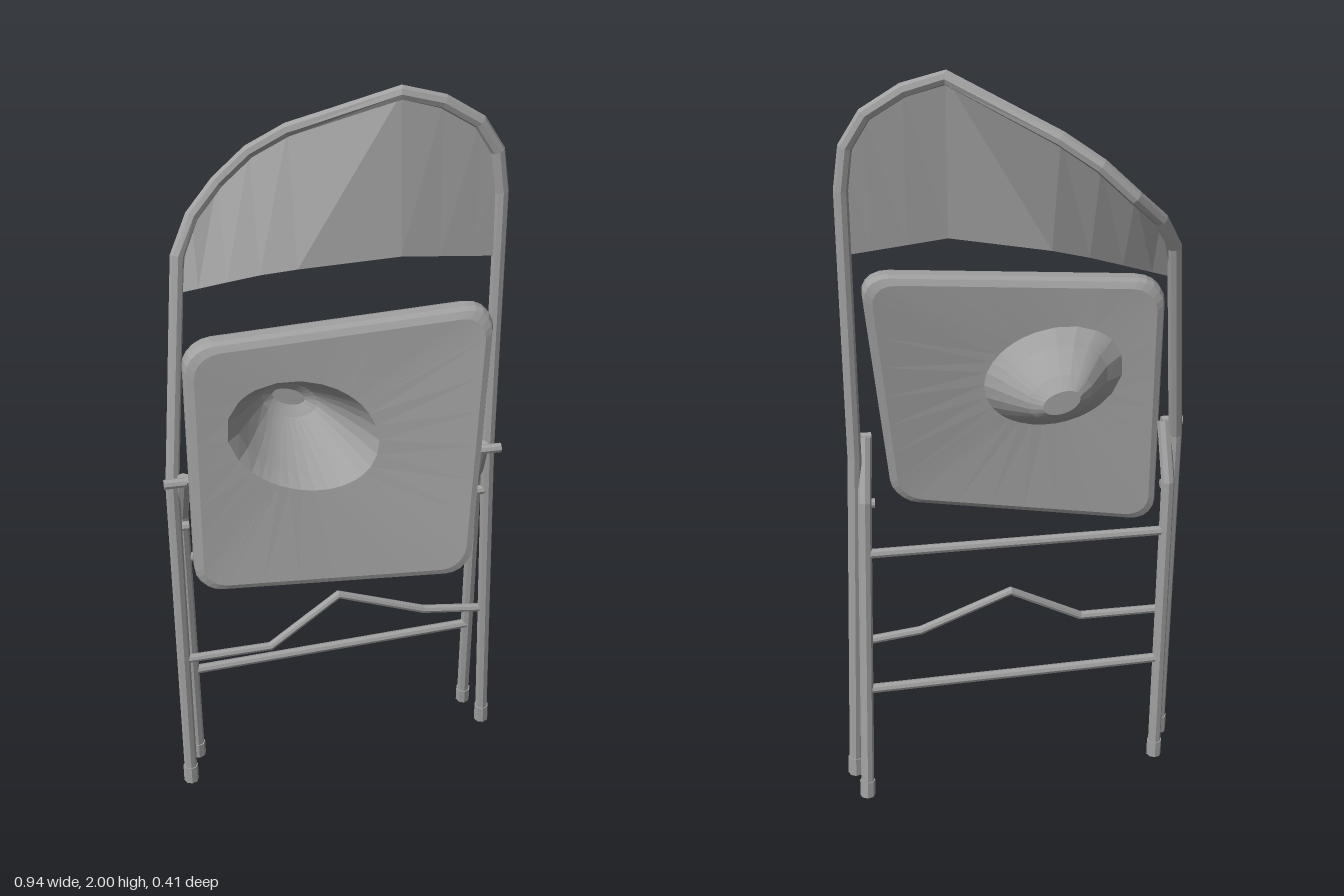
import * as THREE from 'three';

const metal = new THREE.MeshStandardMaterial({ color: 0xa0a0a0, flatShading: true });
metal.name = 'grey metal';
const sheet = new THREE.MeshStandardMaterial({ color: 0xa0a0a0, flatShading: true, side: THREE.DoubleSide });
sheet.name = 'grey sheet metal';

const V = (p) => new THREE.Vector3(...p);
const lerp = THREE.MathUtils.lerp;

// Skin a list of closed rings and cap both ends
function loft(rings) {
  const n = rings[0].length, pos = [], idx = [];
  rings.forEach((r) => r.forEach((p) => pos.push(p.x, p.y, p.z)));
  for (let i = 0; i < rings.length - 1; i++) {
    for (let j = 0; j < n; j++) {
      const a = i * n + j, b = i * n + (j + 1) % n;
      idx.push(a, a + n, b + n, a, b + n, b);
    }
  }
  [0, rings.length - 1].forEach((k) => {
    const c = new THREE.Vector3();
    rings[k].forEach((p) => c.addScaledVector(p, 1 / n));
    const ci = pos.length / 3;
    pos.push(c.x, c.y, c.z);
    for (let j = 0; j < n; j++) {
      const a = k * n + j, b = k * n + (j + 1) % n;
      if (k === 0) idx.push(ci, a, b); else idx.push(ci, b, a);
    }
  });
  const g = new THREE.BufferGeometry();
  g.setAttribute('position', new THREE.Float32BufferAttribute(pos, 3));
  g.setIndex(idx);
  g.computeVertexNormals();
  return g;
}

// Bent tube with mitred corners
function tube(path, radius, sides = 8) {
  const pts = path.map(V), zAxis = new THREE.Vector3(0, 0, 1);
  return loft(pts.map((p, i) => {
    const t = new THREE.Vector3();
    if (i > 0) t.add(p.clone().sub(pts[i - 1]).normalize());
    if (i < pts.length - 1) t.add(pts[i + 1].clone().sub(p).normalize());
    t.normalize();
    const n1 = t.clone().cross(zAxis).normalize(), n2 = n1.clone().cross(t);
    return Array.from({ length: sides }, (_, k) => {
      const a = (k / sides) * Math.PI * 2;
      return p.clone().addScaledVector(n1, radius * Math.cos(a)).addScaledVector(n2, radius * Math.sin(a));
    });
  }));
}

// Seat pan: a skewed rounded slab with a funnel-shaped dent
function seatGeometry() {
  const uv = [], rad = 0.09;
  [[1, 1], [0, 1], [0, 0], [1, 0]].forEach(([cu, cv], q) => {
    const ou = cu ? 1 - rad : rad, ov = cv ? 1 - rad : rad;
    for (let k = 0; k <= 5; k++) {
      const a = (q + k / 5) * Math.PI / 2;
      uv.push([ou + rad * Math.cos(a), ov + rad * Math.sin(a)]);
    }
    const end = uv[uv.length - 1], dir = [[-1, 0], [0, -1], [1, 0], [0, 1]][q];
    for (let k = 1; k <= 5; k++) {
      const d = (k / 6) * (1 - 2 * rad);
      uv.push([end[0] + dir[0] * d, end[1] + dir[1] * d]);
    }
  });
  const frontZ = (u, v) => 0.09 + u * (0.01 + 0.11 * (1 - v));
  const outline = (s, drop) => uv.map(([u0, v0]) => {
    const u = 0.5 + (u0 - 0.5) * s, v = 0.5 + (v0 - 0.5) * s;
    return new THREE.Vector3(
      lerp(-0.405, lerp(0.305, 0.37, v), u),
      lerp(lerp(0.715, 1.43, v), lerp(0.755, 1.475, v), u),
      frontZ(u, v) - drop);
  });
  const tilt = -0.35, cx = -0.12, cy = 1.17, c = Math.cos(tilt), s = Math.sin(tilt);
  const edge = outline(1, 0);
  const ellipse = (a, b, z, drop) => edge.map((p) => {
    const dx = p.x - cx, dy = p.y - cy;
    const t = Math.atan2((-dx * s + dy * c) / b, (dx * c + dy * s) / a);
    const ex = a * Math.cos(t), ey = b * Math.sin(t);
    const x = cx + ex * c - ey * s, y = cy + ex * s + ey * c;
    return new THREE.Vector3(x, y, z ?? frontZ((x + 0.4) / 0.74, (y - 0.74) / 0.71) - drop);
  });
  return loft([
    ellipse(0.045, 0.022, -0.1), ellipse(0.075, 0.048, -0.08),
    ellipse(0.125, 0.092, 0), ellipse(0.16, 0.122, 0.06), ellipse(0.195, 0.148, null, 0),
    outline(0.94, 0), outline(0.985, 0.008), outline(1, 0.024),
    outline(1, 0.05), outline(0.985, 0.066), outline(0.94, 0.075),
    ellipse(0.185, 0.14, null, 0.075), ellipse(0.14, 0.105, -0.01),
    ellipse(0.085, 0.06, -0.085), ellipse(0.05, 0.03, -0.115),
  ]);
}

// Backrest sheet between the arch and a gently bowed lower edge
function backrestGeometry(arch) {
  const low = [[-0.395, 1.49, -0.1], [-0.2, 1.535, -0.065], [0, 1.568, -0.025], [0.15, 1.58, -0.005], [0.405, 1.553, -0.02]];
  const lowAt = (x) => {
    let i = 0;
    while (i < low.length - 2 && x > low[i + 1][0]) i++;
    const f = THREE.MathUtils.clamp((x - low[i][0]) / (low[i + 1][0] - low[i][0]), 0, 1);
    return low[i].map((a, k) => lerp(a, low[i + 1][k], f));
  };
  const pos = [], idx = [];
  arch.forEach((p, i) => {
    pos.push(...lowAt(p[0]), ...p);
    if (i) idx.push(2 * i - 2, 2 * i, 2 * i + 1, 2 * i - 2, 2 * i + 1, 2 * i - 1);
  });
  const g = new THREE.BufferGeometry();
  g.setAttribute('position', new THREE.Float32BufferAttribute(pos, 3));
  g.setIndex(idx);
  g.computeVertexNormals();
  return g;
}

export function createModel() {
  const model = new THREE.Group();
  model.name = 'bentFoldingChair';
  const add = (name, geometry, material = metal) => {
    const mesh = new THREE.Mesh(geometry, material);
    mesh.name = name;
    model.add(mesh);
  };

  // Main frame: one tube from foot to foot over the crooked arch
  const arch = [
    [-0.385, 1.58, -0.12], [-0.34, 1.665, -0.16], [-0.27, 1.735, -0.193], [-0.19, 1.81, -0.185],
    [-0.1, 1.868, -0.155], [0.15, 1.982, -0.03], [0.25, 1.955, -0.027], [0.34, 1.9, -0.025],
    [0.388, 1.825, -0.025], [0.403, 1.72, -0.025],
  ];
  const rightFoot = [-0.445, 0, 0.005], leftFoot = [0.45, 0, -0.08];
  const rightBend = [-0.443, 1.0, 0], leftBend = [0.405, 1.0, -0.025];
  add('mainFrame', tube([rightFoot, rightBend, ...arch, leftBend, leftFoot], 0.018));
  add('backrest', backrestGeometry([[-0.395, 1.49, -0.1], ...arch]), sheet);
  add('seat', seatGeometry());

  // Rear legs, bent forward near the top
  const rearLegs = [
    [[-0.41, 0, -0.1], [-0.42, 0.88, -0.045], [-0.415, 1.03, 0.02]],
    [[0.42, 0, -0.18], [0.385, 0.88, -0.06], [0.375, 1.03, 0.02]],
  ];
  rearLegs.forEach((path) => add('rearLeg', tube(path, 0.018)));

  // Rubber-tip sleeves on all four feet
  [[rightFoot, rightBend], [leftFoot, leftBend], rearLegs[0], rearLegs[1]].forEach(([foot, top]) => {
    add('foot', tube([foot, foot.map((a, k) => lerp(a, top[k], 0.055))], 0.021));
  });

  // Cross bars and the kinked brace
  add('upperCrossBar', tube([[-0.415, 0.735, -0.055], [0.39, 0.735, -0.08]], 0.013));
  add('lowerCrossBar', tube([[-0.413, 0.33, -0.08], [0.407, 0.33, -0.13]], 0.013));
  add('kinkedBrace', tube([[-0.444, 0.438, 0.003], [-0.2, 0.438, -0.005], [0, 0.56, -0.04],
    [0.25, 0.46, -0.055], [0.43, 0.436, -0.058]], 0.012));

  // Hinge pins on each side
  [[-0.467, -0.41, 1.025, 0.03], [0.358, 0.422, 1.025, 0.03],
    [-0.44, -0.405, 0.86, -0.02], [0.358, 0.41, 0.86, -0.03]].forEach(([x0, x1, y, z]) => {
    add('hingePin', tube([[x0, y, z], [x1, y, z]], 0.013));
  });

  return model;
}
